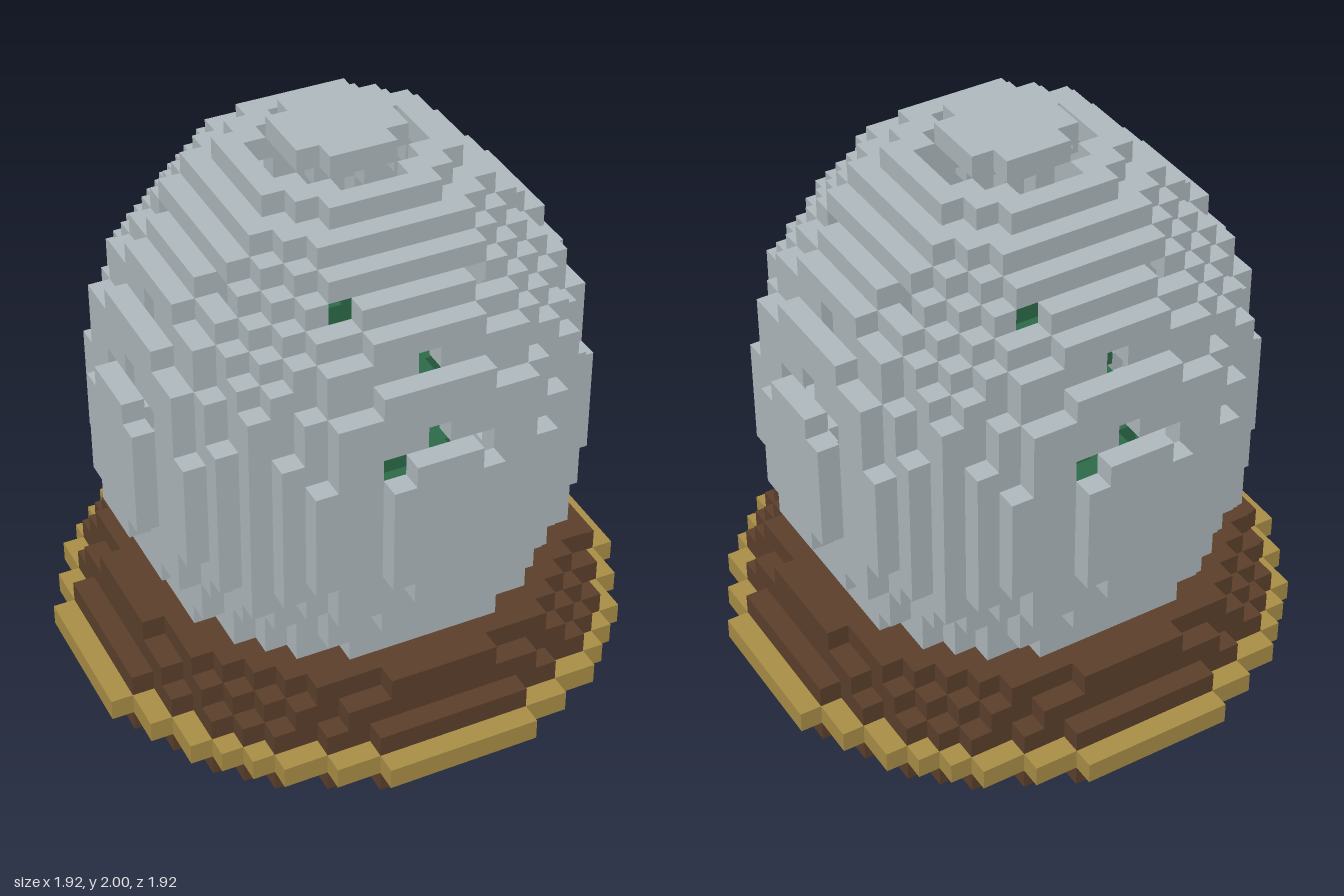
import * as THREE from 'three';
import { mergeGeometries } from 'three/addons/utils/BufferGeometryUtils.js';

const CELL = 2 / 26; // the model is 26 blocks tall

const mat = (name, color) => {
  const m = new THREE.MeshStandardMaterial({ color });
  m.name = name;
  return m;
};

// One block layer: every cell whose squared distance from the axis lies in [inner, outer].
// Neighbouring cells of a row are joined into one box.
function ringLayer(y, inner, outer, boxes) {
  const n = Math.floor(Math.sqrt(outer));
  const filled = (x, z) => {
    const d = x * x + z * z;
    return d >= inner && d <= outer;
  };
  for (let z = -n; z <= n; z++) {
    for (let x = -n; x <= n; x++) {
      if (!filled(x, z)) continue;
      const start = x;
      while (filled(x + 1, z)) x++;
      const box = new THREE.BoxGeometry((x - start + 1) * CELL, CELL, CELL);
      box.translate(((start + x) / 2) * CELL, (y + 0.5) * CELL, z * CELL);
      boxes.push(box);
    }
  }
}

// Stack of layers, each given as [level, inner, outer]
function stack(name, material, layers) {
  const boxes = [];
  for (const [y, inner, outer] of layers) ringLayer(y, inner, outer, boxes);
  const mesh = new THREE.Mesh(mergeGeometries(boxes), material);
  mesh.name = name;
  return mesh;
}

export function createModel() {
  const group = new THREE.Group();
  group.name = 'snowGlobe';

  const wood = mat('dark wood', 0x5c402b);
  const gold = mat('gold', 0xab8f47);
  const glass = mat('frosted glass', 0xb0babf);
  const green = mat('tree green', 0x2d6c4a);

  // Stepped wooden base
  group.add(stack('baseFoot', wood, [[0, 0, 130]]));
  group.add(stack('goldBand', gold, [[1, 0, 156]]));
  group.add(stack('basePlinth', wood, [[2, 0, 130], [3, 0, 117], [4, 0, 106]]));

  // Thin hollow dome, widest at mid height, with small gaps between its steps
  const dome = [
    [5, 58, 74], [6, 64, 80], [7, 72, 85], [8, 80, 98], [9, 85, 101],
    [15, 89, 101], [16, 82, 98], [17, 81, 98], [18, 73, 85], [19, 65, 80],
    [20, 58, 68], [21, 49, 53], [22, 34, 45], [23, 20, 34], [24, 13, 20], [25, 0, 5],
  ];
  for (let y = 10; y <= 14; y++) dome.push([y, 89, 106]);
  group.add(stack('glassDome', glass, dome));

  // Tiered tree inside the dome
  const tree = [];
  for (let y = 7; y <= 19; y++) {
    const r = (19 - y) * 0.4 + 1 + (y % 3 === 1 ? 1 : 0);
    tree.push([y, 0, r * r]);
  }
  group.add(stack('tree', green, tree));
  group.add(stack('treeTrunk', wood, [[5, 0, 2], [6, 0, 2]]));

  return group;
}
